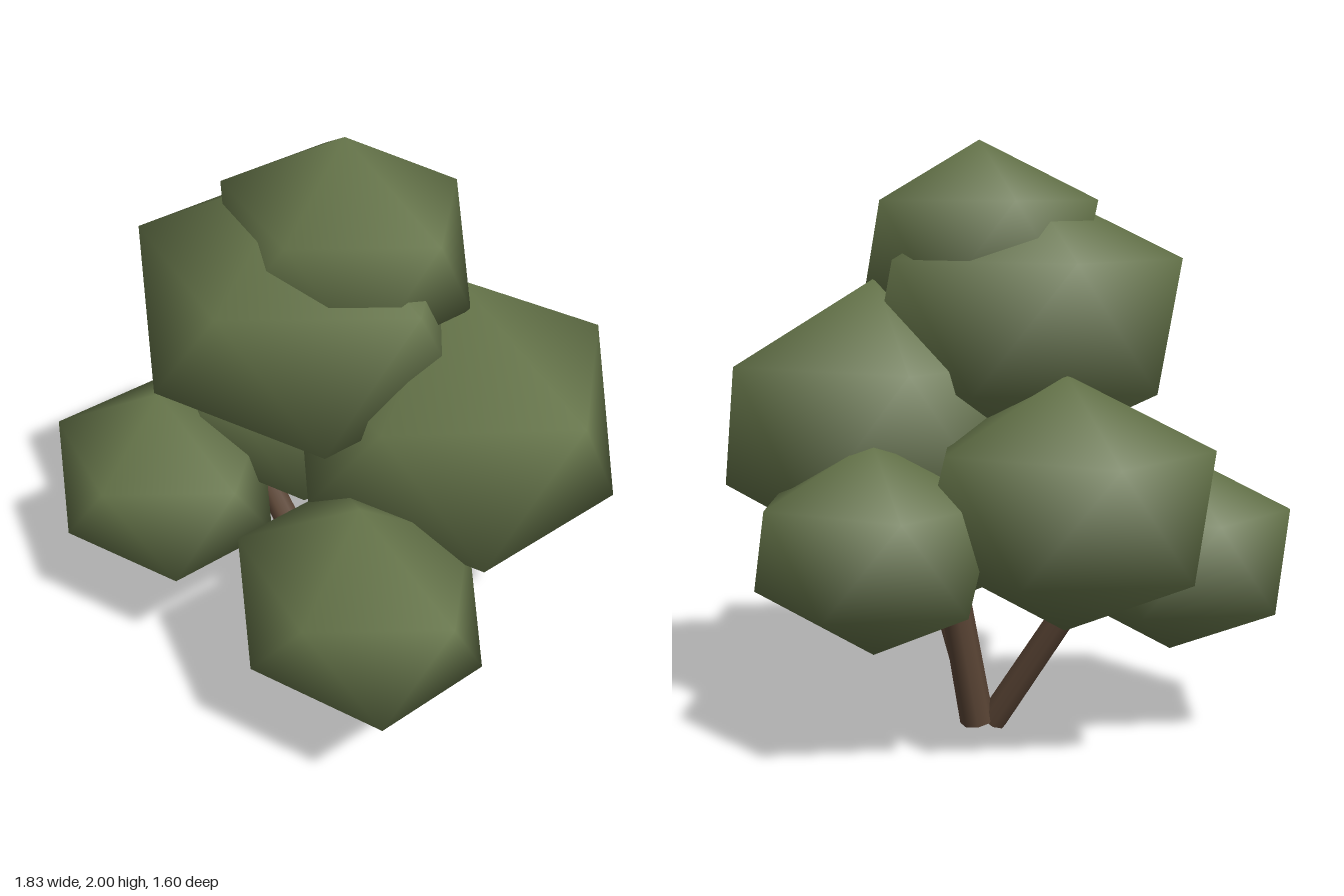
import * as THREE from 'three';

const leafGreen = new THREE.MeshStandardMaterial({ color: 0x66754a });
leafGreen.name = 'leafGreen';
const barkBrown = new THREE.MeshStandardMaterial({ color: 0x5c4636 });
barkBrown.name = 'barkBrown';

// Smooth icosahedron standing on one corner, stretched to three radii
function clumpGeometry(rx, ry, rz) {
  const h = 1 / Math.sqrt(5), ring = 2 * h;
  const points = [0, ry, 0];
  for (const [y, turn] of [[h, 0], [-h, Math.PI / 5]]) {
    for (let k = 0; k < 5; k++) {
      const a = turn + (k * 2 * Math.PI) / 5;
      points.push(rx * ring * Math.cos(a), ry * y, rz * ring * Math.sin(a));
    }
  }
  points.push(0, -ry, 0);
  const faces = [];
  for (let k = 0; k < 5; k++) {
    const n = (k + 1) % 5;
    const u = 1 + k, u2 = 1 + n, l = 6 + k, l2 = 6 + n;
    faces.push(0, u2, u, u, u2, l, l, u2, l2, l, l2, 11);
  }
  const g = new THREE.BufferGeometry();
  g.setAttribute('position', new THREE.Float32BufferAttribute(points, 3));
  g.setIndex(faces);
  g.computeVertexNormals();
  return g;
}

// Tapered branch between two points
function branch(name, from, to, r0, r1) {
  const a = new THREE.Vector3(...from), b = new THREE.Vector3(...to);
  const dir = b.clone().sub(a);
  const mesh = new THREE.Mesh(new THREE.CylinderGeometry(r1, r0, dir.length(), 8), barkBrown);
  mesh.position.copy(a).add(b).multiplyScalar(0.5);
  mesh.quaternion.setFromUnitVectors(new THREE.Vector3(0, 1, 0), dir.normalize());
  mesh.name = name;
  return mesh;
}

export function createModel() {
  const tree = new THREE.Group();
  tree.name = 'tree';

  // Leaf clumps: name, centre, radii
  const clumps = [
    ['frontRightClump', [-0.49, 0.625, 0.465], [0.46, 0.345, 0.394]],
    ['frontLeftClump', [0.49, 0.655, 0.42], [0.47, 0.365, 0.40]],
    ['backClump', [0.015, 0.705, -0.46], [0.46, 0.347, 0.40]],
    ['rightClump', [-0.425, 0.845, -0.03], [0.554, 0.414, 0.47]],
    ['leftClump', [0.33, 1.04, -0.13], [0.618, 0.5, 0.565]],
    ['upperFrontClump', [-0.05, 1.40, 0.2], [0.625, 0.47, 0.535]],
    ['topClump', [0.07, 1.64, 0.11], [0.47, 0.36, 0.403]],
  ];
  for (const [name, centre, radii] of clumps) {
    const mesh = new THREE.Mesh(clumpGeometry(...radii), leafGreen);
    mesh.position.set(...centre);
    mesh.name = name;
    tree.add(mesh);
  }

  // Three trunks fanning out from the ground
  tree.add(
    branch('centreTrunk', [-0.01, 0.03, 0.01], [0.0, 1.05, -0.23], 0.058, 0.045),
    branch('rightTrunk', [-0.04, 0.03, 0.06], [-0.43, 0.62, 0.13], 0.05, 0.045),
    branch('leftTrunk', [0.01, 0.03, 0.05], [0.46, 0.9, 0.14], 0.05, 0.045),
  );
  return tree;
}
